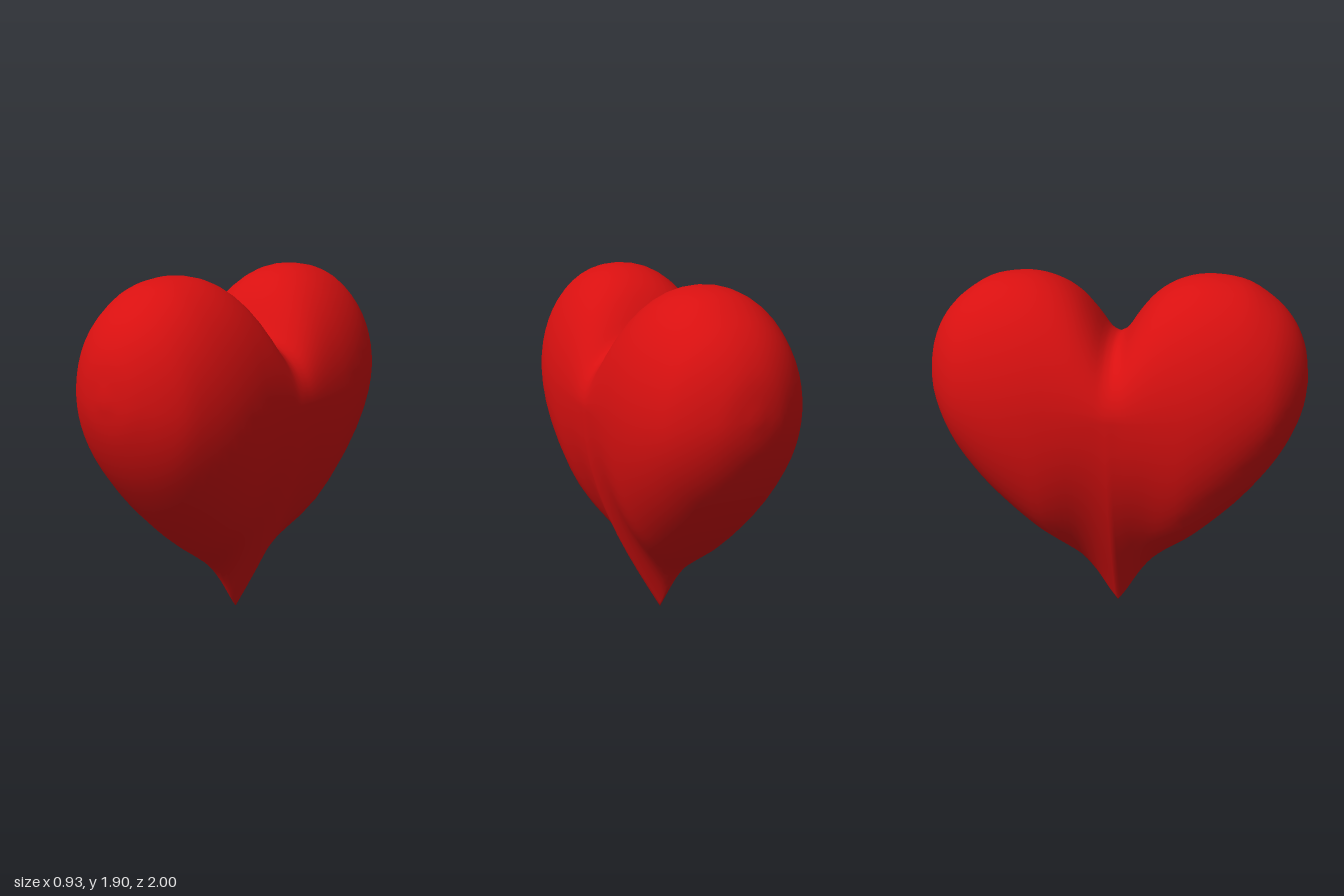
import * as THREE from 'three';
import { mergeVertices } from 'three/addons/utils/BufferGeometryUtils.js';

// Half outline from the cleft to the side: [z, top y, bottom y, half thickness]
const STATIONS = [
  [0, 1.58, 0, 0.45], [0.05, 1.61, 0.07, 0.45], [0.12, 1.71, 0.185, 0.454],
  [0.2, 1.80, 0.29, 0.459], [0.3, 1.865, 0.375, 0.464], [0.42, 1.9, 0.465, 0.466],
  [0.55, 1.9, 0.58, 0.455], [0.68, 1.87, 0.71, 0.425], [0.8, 1.795, 0.86, 0.375],
  [0.88, 1.72, 0.98, 0.305], [0.94, 1.63, 1.10, 0.22], [0.98, 1.52, 1.22, 0.13],
  [1, 1.36, 1.36, 0],
];
const ALONG = 36; // slices per lobe
const AROUND = 48; // points per slice

function heartGeometry() {
  const curve = (pick) => new THREE.CatmullRomCurve3(
    STATIONS.map((s) => new THREE.Vector3(...pick(s))), false, 'catmullrom');
  const outline = curve((s) => [s[0], s[1], s[2]]);
  const thickness = curve((s) => [s[3], 0, 0]);
  const positions = [];
  const indices = [];

  for (let i = -ALONG; i <= ALONG; i++) {
    const u = Math.abs(i) / ALONG;
    const { x: z, y: top, z: bottom } = outline.getPoint(u);
    const width = thickness.getPoint(u).x;
    const middle = 1.23 + 0.13 * z * z;
    const roundness = THREE.MathUtils.smoothstep(z, 0, 0.4);
    for (let j = 0; j < AROUND; j++) {
      const a = (j / AROUND) * Math.PI * 2;
      const c = Math.cos(a);
      const s = Math.sin(a);
      // Round above the middle; below, a pointed keel at the tip turning round outwards
      const bulge = c >= 0
        ? Math.pow(Math.abs(s), 0.93)
        : THREE.MathUtils.lerp(Math.cos(c * Math.PI / 2), Math.abs(s), roundness);
      const y = middle + c * (c >= 0 ? top - middle : middle - bottom);
      positions.push(Math.sign(s) * width * bulge, y, Math.sign(i) * z);
    }
  }

  for (let i = 0; i < ALONG * 2; i++) {
    for (let j = 0; j < AROUND; j++) {
      const k = (j + 1) % AROUND;
      const a = i * AROUND + j, b = a + AROUND;
      const c = i * AROUND + k, d = c + AROUND;
      // The end slices close to a point
      if (i < ALONG * 2 - 1) indices.push(b, d, c);
      if (i > 0) indices.push(a, b, c);
    }
  }

  const geometry = new THREE.BufferGeometry();
  geometry.setAttribute('position', new THREE.Float32BufferAttribute(positions, 3));
  geometry.setIndex(indices);
  const merged = mergeVertices(geometry, 1e-5);
  merged.computeVertexNormals();
  return merged;
}

export function createModel() {
  const group = new THREE.Group();
  group.name = 'heart';
  const body = new THREE.Mesh(heartGeometry(), new THREE.MeshStandardMaterial({ color: 0xd81010 }));
  body.name = 'heartBody';
  group.add(body);
  return group;
}
